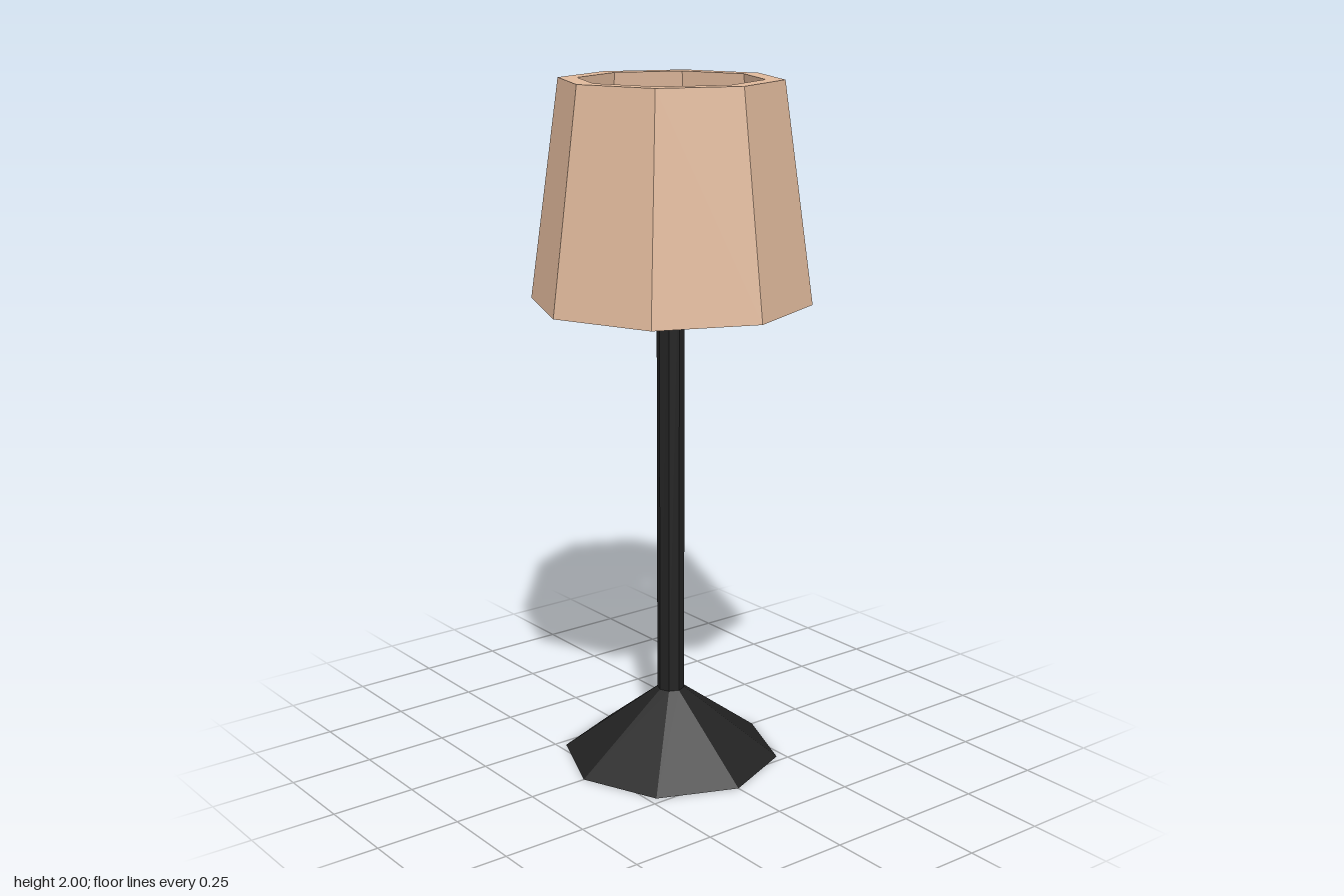
import * as THREE from 'three';

const SIDES = 8;

function part(name, geometry, color, y = 0) {
  const material = new THREE.MeshStandardMaterial({ color, flatShading: true });
  const mesh = new THREE.Mesh(geometry, material);
  mesh.name = name;
  mesh.position.y = y;
  return mesh;
}

export function createModel() {
  const lamp = new THREE.Group();
  lamp.name = 'tableLamp';

  // Faceted conical foot
  const baseHeight = 0.21;
  lamp.add(part('base', new THREE.CylinderGeometry(0.04, 0.32, baseHeight, SIDES), 0x222222, baseHeight / 2));

  // Pole from the foot up to the bulb inside the shade
  const poleTop = 1.63;
  const poleHeight = poleTop - baseHeight;
  lamp.add(part('pole', new THREE.CylinderGeometry(0.04, 0.04, poleHeight, SIDES), 0x222222, baseHeight + poleHeight / 2));

  // Bulb resting on the pole
  lamp.add(part('bulb', new THREE.SphereGeometry(0.09, SIDES, 8), 0xd0cc40, 1.7));

  // Thick-walled shade, open at top and bottom: outside up, inside down
  const wall = [[0.4, 1.38], [0.314, 2], [0.26, 2], [0.33, 1.38], [0.4, 1.38]]
    .map(([r, y]) => new THREE.Vector2(r, y));
  lamp.add(part('shade', new THREE.LatheGeometry(wall, SIDES), 0xdfb89b));

  return lamp;
}
